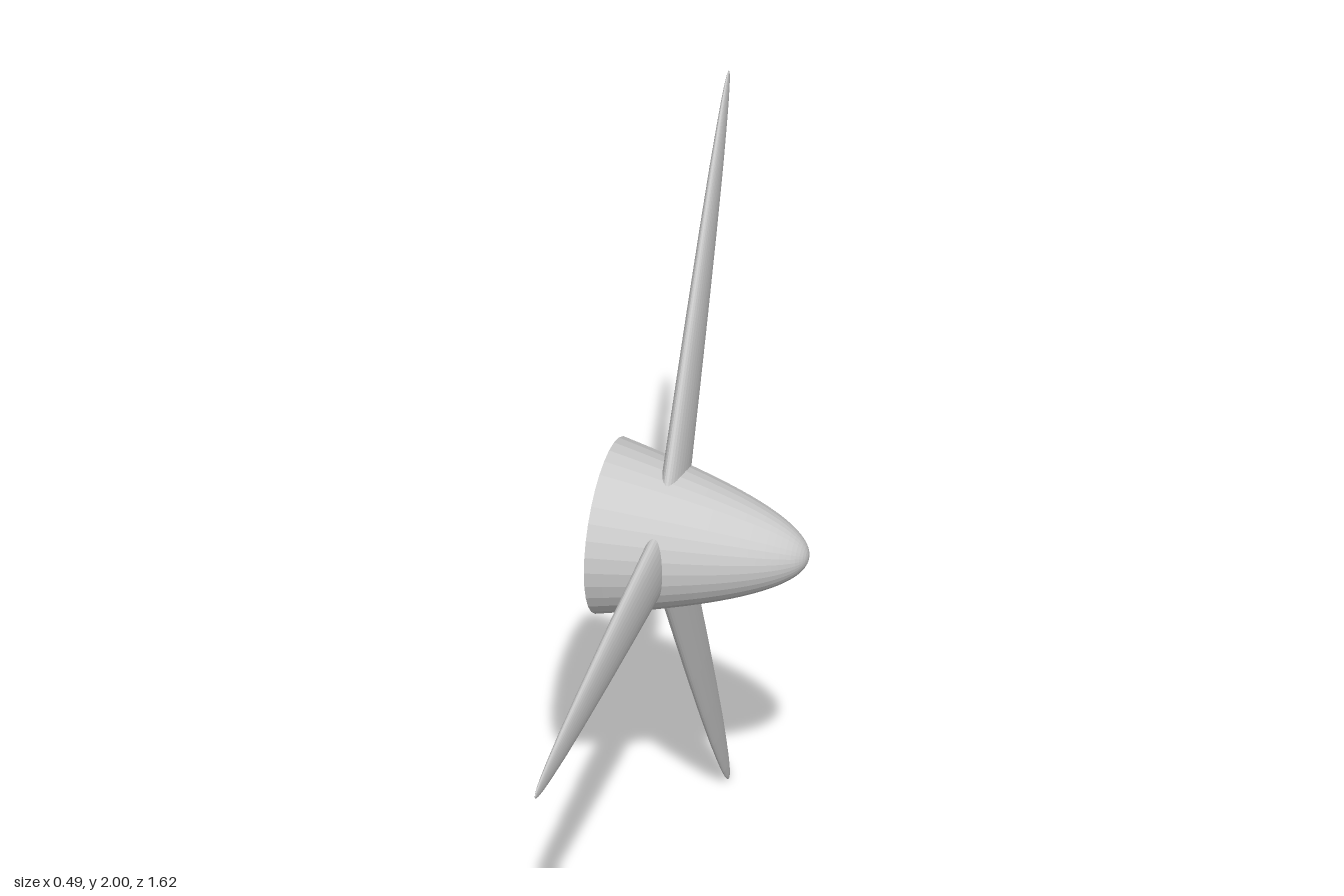
import * as THREE from 'three';

const HUB = { y: 1.0, z: -0.325, back: -0.245, nose: 0.24, radius: 0.21 };
const BLADE = { x: -0.094, length: 1.08, thickness: 0.305 };

const material = new THREE.MeshStandardMaterial({ color: 0xcccccc, flatShading: true });

// Parabolic nose cone with a flat closed back, turned to point along +x
function createSpinner() {
  const length = HUB.nose - HUB.back;
  const steps = 24;
  const profile = [new THREE.Vector2(0, HUB.back)];
  for (let i = 0; i <= steps; i++) {
    const t = 1 - i / steps; // radius fraction, so points crowd towards the blunt nose
    profile.push(new THREE.Vector2(HUB.radius * t, HUB.nose - length * t * t));
  }
  const geometry = new THREE.LatheGeometry(profile, 32);
  geometry.rotateZ(-Math.PI / 2);
  const spinner = new THREE.Mesh(geometry, material);
  spinner.name = 'spinner';
  spinner.position.set(0, HUB.y, HUB.z);
  return spinner;
}

// Tapered blade of elliptical section: [distance from root, half chord]
function createBladeGeometry() {
  const stations = [
    [0, 0], [0, 0.091], [0.12, 0.087], [0.3, 0.078], [0.5, 0.067], [0.7, 0.054],
    [0.85, 0.042], [0.95, 0.031], [1.01, 0.023], [1.05, 0.015], [1.07, 0.008], [BLADE.length, 0],
  ];
  const profile = stations.map(([along, chord]) => new THREE.Vector2(chord, along));
  const geometry = new THREE.LatheGeometry(profile, 32);
  geometry.scale(BLADE.thickness, 1, 1);
  return geometry;
}

export function createModel() {
  const group = new THREE.Group();
  group.name = 'propeller';
  group.add(createSpinner());

  // Each blade is placed by its tip and its angle about the shaft
  const geometry = createBladeGeometry();
  const sweep = THREE.MathUtils.degToRad(27.1);
  const blades = [
    ['frontBlade', Math.PI / 2, 1.0, 0.81],
    ['upperBlade', -sweep, 2.0, -0.805],
    ['lowerBlade', Math.PI + sweep, 0.0, -0.805],
  ];
  for (const [name, angle, tipY, tipZ] of blades) {
    const blade = new THREE.Mesh(geometry, material);
    blade.name = name;
    blade.rotation.x = angle;
    blade.position.set(
      BLADE.x,
      tipY - Math.cos(angle) * BLADE.length,
      tipZ - Math.sin(angle) * BLADE.length,
    );
    group.add(blade);
  }
  return group;
}
